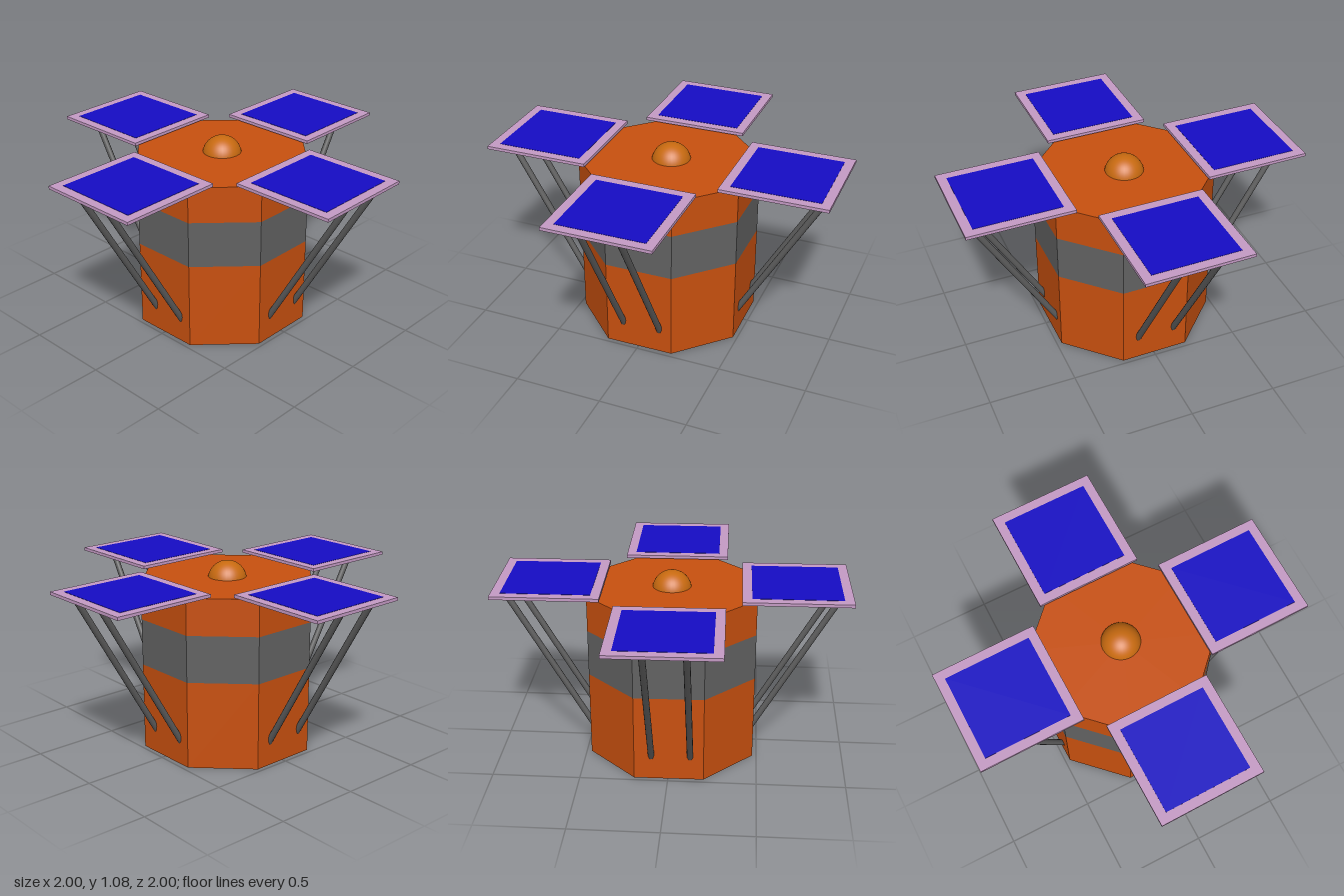
import * as THREE from 'three';

const mat = (color, flat = true) => new THREE.MeshStandardMaterial({ color, flatShading: flat });

function add(parent, name, geometry, material, x = 0, y = 0, z = 0) {
  const mesh = new THREE.Mesh(geometry, material);
  mesh.name = name;
  mesh.position.set(x, y, z);
  parent.add(mesh);
  return mesh;
}

// Octagonal section with flats facing the four axes
function section(y0, y1, openEnded) {
  const r = 0.474 / Math.cos(Math.PI / 8);
  return new THREE.CylinderGeometry(r, r, y1 - y0, 8, 1, openEnded, Math.PI / 8)
    .translate(0, (y0 + y1) / 2, 0);
}

// Round rod between two points
function rod(a, b, radius) {
  const dir = b.clone().sub(a);
  const geo = new THREE.CylinderGeometry(radius, radius, dir.length(), 12);
  geo.applyQuaternion(new THREE.Quaternion().setFromUnitVectors(
    new THREE.Vector3(0, 1, 0), dir.clone().normalize()));
  const mid = a.clone().add(b).multiplyScalar(0.5);
  return geo.translate(mid.x, mid.y, mid.z);
}

export function createModel() {
  const model = new THREE.Group();
  model.name = 'satellite';
  const orange = mat(0xc8500f), grey = mat(0x626262), strutGrey = mat(0x5c5c5c, false);
  const mauve = mat(0xc49ac4), blue = mat(0x150cc4), amber = mat(0xc86a10, false);

  // Body with a grey band round the middle
  const body = new THREE.Group();
  body.name = 'body';
  model.add(body);
  add(body, 'lowerBody', section(0, 0.51), orange);
  add(body, 'band', section(0.51, 0.78, true), grey);
  add(body, 'upperBody', section(0.78, 0.99), orange);

  // Dome on the top deck
  add(model, 'dome', new THREE.SphereGeometry(0.112, 32, 16, 0, Math.PI * 2, 0, Math.PI / 2),
    amber, -0.005, 0.968, -0.008);

  // Four solar panels, each on a pair of slanted struts
  ['front', 'left', 'back', 'right'].forEach((side, i) => {
    const arm = new THREE.Group();
    arm.name = side + 'PanelArm';
    arm.rotation.y = i * Math.PI / 2;
    model.add(arm);
    add(arm, 'panelFrame', new THREE.BoxGeometry(0.606, 0.018, 0.606), mauve, 0, 1.011, 0.693);
    add(arm, 'solarCells', new THREE.BoxGeometry(0.5, 0.004, 0.5), blue, 0, 1.0195, 0.693);
    for (const x of [i === 0 ? -0.08 : -0.1, 0.12]) {
      add(arm, 'strut', rod(new THREE.Vector3(x, 0.1, 0.44),
        new THREE.Vector3(x, 1.004, 0.962), 0.018), strutGrey);
    }
  });

  // Slight turn of the whole craft
  model.rotation.y = 0.011;
  const root = new THREE.Group();
  root.add(model);
  return root;
}
